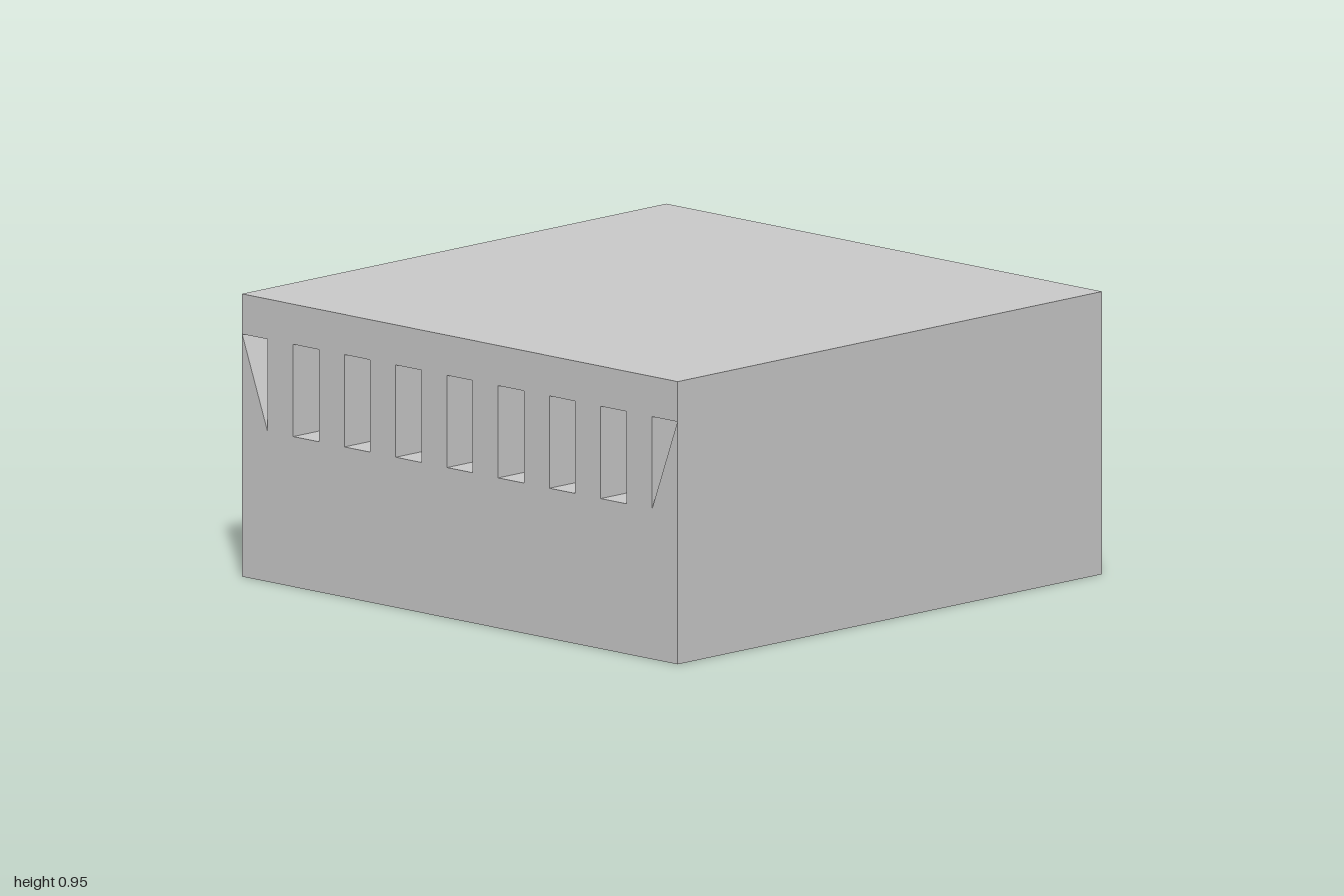
import * as THREE from 'three';

const HEIGHT = 0.95;
const DEPTH = 0.2;            // depth of the slots
const SLOTS = 9;
const STEP = 2 / (2 * SLOTS - 1); // slots and bars share one width
const SILL = 0.505, HEAD = 0.815;

function polygon(points, Type) {
  return new Type(points.map(([z, y]) => new THREE.Vector2(z, y)));
}

export function createModel() {
  const group = new THREE.Group();
  group.name = 'ventedBox';
  const material = new THREE.MeshStandardMaterial({ color: 0xcccccc, flatShading: true });

  // Solid block behind the slotted side
  const body = new THREE.Mesh(new THREE.BoxGeometry(2 - DEPTH, HEIGHT, 2), material);
  body.name = 'body';
  body.position.set(DEPTH / 2, HEIGHT / 2, 0);
  group.add(body);

  // Slotted side, drawn in z and y and extruded towards -x
  const side = polygon([[-1, 0], [1, 0], [1, HEIGHT], [-1, HEIGHT]], THREE.Shape);
  for (let i = 1; i < SLOTS - 1; i++) {
    const a = -1 + 2 * i * STEP, b = a + STEP;
    side.holes.push(polygon([[a, SILL], [a, HEAD], [b, HEAD], [b, SILL]], THREE.Path));
  }
  // The end slots taper to the corners
  for (const s of [-1, 1]) {
    const inner = s * (1 - STEP);
    side.holes.push(polygon([[inner, SILL], [inner, HEAD], [s * 0.999, HEAD]], THREE.Path));
  }
  const geometry = new THREE.ExtrudeGeometry(side, { depth: DEPTH, bevelEnabled: false });
  geometry.rotateY(-Math.PI / 2);
  const panel = new THREE.Mesh(geometry, material);
  panel.name = 'slottedSide';
  panel.position.x = -1 + DEPTH;
  group.add(panel);

  return group;
}
